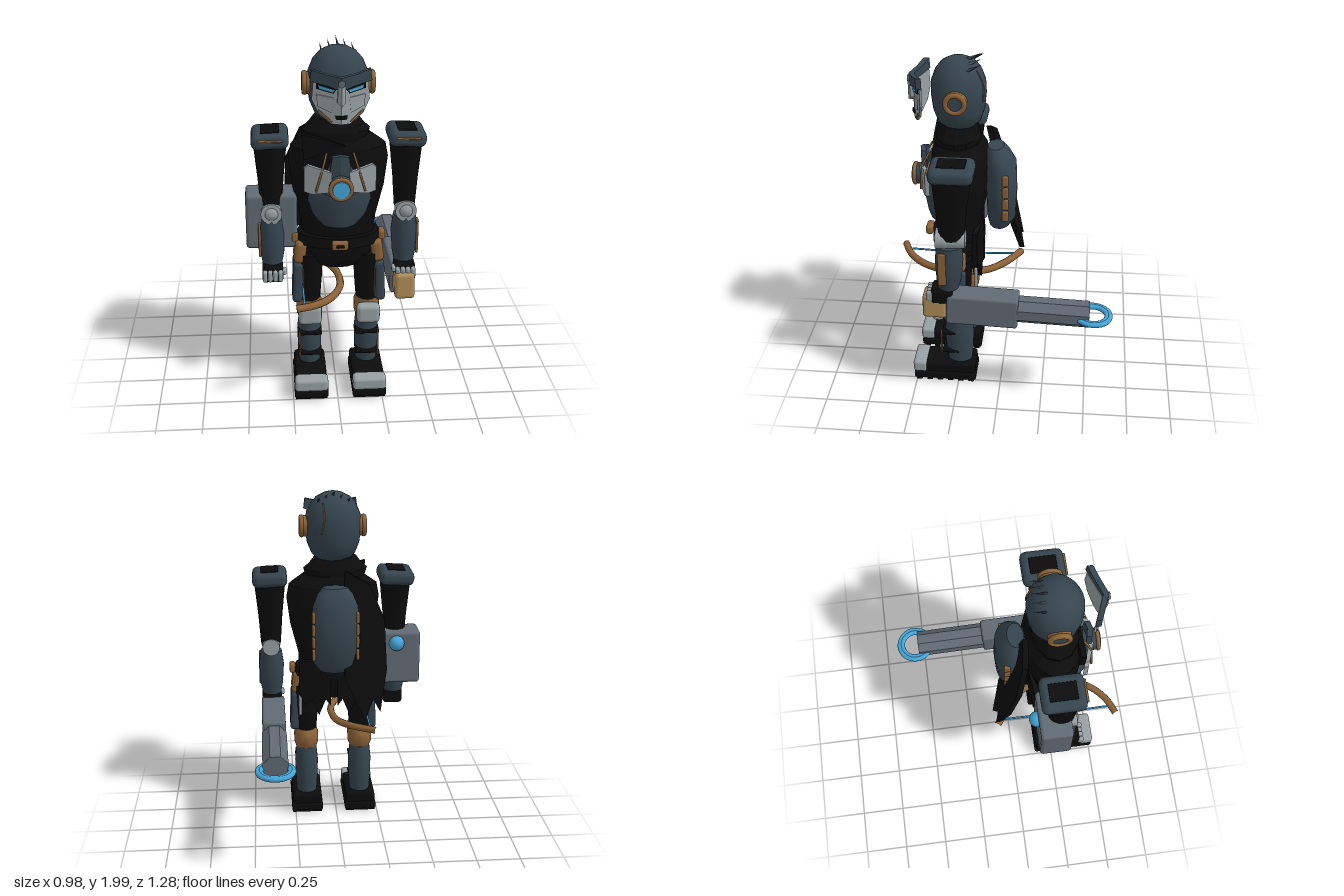
import * as THREE from 'three';
import { toCreasedNormals } from 'three/addons/utils/BufferGeometryUtils.js';
import { RoundedBoxGeometry } from 'three/addons/geometries/RoundedBoxGeometry.js';

const paint = (name, color) => Object.assign(new THREE.MeshStandardMaterial({ color }), { name });

export function createModel() {
  const slate = paint('slate', 0x36454f), black = paint('black', 0x0c0c0d);
  const light = paint('lightGrey', 0x98a1a4), steel = paint('steel', 0x616b74);
  const bronze = paint('bronze', 0x8c6238), blue = paint('blue', 0x45a5d8), tan = paint('tan', 0xb08e58);

  const model = new THREE.Group();
  const body = new THREE.Group();
  body.name = 'body';
  body.position.x = 0.015;
  model.add(body);

  const add = (name, geo, mat, pos = [0, 0, 0], rot = [0, 0, 0], parent = body) => {
    const mesh = new THREE.Mesh(geo, mat);
    mesh.name = name;
    mesh.position.set(...pos);
    mesh.rotation.set(...rot);
    parent.add(mesh);
    return mesh;
  };
  const box = (name, mat, size, pos, rot, r = 0.012, parent = body) =>
    add(name, new RoundedBoxGeometry(...size, 2, Math.min(r, ...size.map(v => v * 0.45))), mat, pos, rot, parent);
  const tube = (name, mat, pts, r, n = 24) =>
    add(name, new THREE.TubeGeometry(new THREE.CatmullRomCurve3(pts.map(p => new THREE.Vector3(...p))), n, r, 8), mat);

  // Closed elliptical loft; each section is [y, rx, rz, centre z]
  const loft = (name, mat, sections, x = 0, sides = 24, crease = 0.7) => {
    const rings = [[sections[0][0], 0, 0, sections[0][3]], ...sections,
      [sections.at(-1)[0], 0, 0, sections.at(-1)[3]]];
    const pos = [], idx = [];
    rings.forEach(([y, rx, rz, z]) => {
      for (let i = 0; i < sides; i++) {
        const a = i / sides * Math.PI * 2;
        pos.push(Math.cos(a) * rx, y, z + Math.sin(a) * rz);
      }
    });
    for (let k = 0; k < rings.length - 1; k++) for (let i = 0; i < sides; i++) {
      const a = k * sides + i, b = k * sides + (i + 1) % sides;
      if (k > 0) idx.push(a, a + sides, b);
      if (k < rings.length - 2) idx.push(b, a + sides, b + sides);
    }
    const geo = new THREE.BufferGeometry();
    geo.setAttribute('position', new THREE.Float32BufferAttribute(pos, 3));
    geo.setIndex(idx);
    return add(name, toCreasedNormals(geo, crease), mat, [x, 0, 0]);
  };

  // Thin outline cut in x, y, with its depth set by a rule zAt(x, y)
  const sheet = (name, mat, pts, depth, zAt) => {
    const geo = new THREE.ExtrudeGeometry(new THREE.Shape(pts.map(p => new THREE.Vector2(...p))),
      { depth, bevelEnabled: false });
    const p = geo.attributes.position;
    for (let i = 0; i < p.count; i++) p.setZ(i, p.getZ(i) + zAt(p.getX(i), p.getY(i)));
    geo.computeVertexNormals();
    return add(name, geo, mat);
  };
  const pair = (name, mat, pts, depth, z0, slope) => {
    for (const s of [1, -1])
      sheet(name, mat, pts.map(([x, y]) => [s * x, y]), depth, x => z0 - slope * Math.abs(x));
  };

  // Head, ears and crest
  loft('head', slate, [[1.585, 0.09, 0.085, 0.24], [1.62, 0.125, 0.12, 0.24], [1.68, 0.15, 0.14, 0.24],
    [1.77, 0.163, 0.15, 0.24], [1.84, 0.157, 0.147, 0.24], [1.9, 0.132, 0.125, 0.24],
    [1.94, 0.098, 0.095, 0.24], [1.965, 0.05, 0.05, 0.24], [1.972, 0.02, 0.02, 0.24]], -0.003, 28);
  for (const s of [1, -1]) {
    add('earRing', new THREE.TorusGeometry(0.05, 0.015, 10, 28), bronze, [s * 0.178, 1.775, 0.24], [0, Math.PI / 2, 0]);
    add('earDisc', new THREE.CylinderGeometry(0.045, 0.045, 0.05, 24), slate, [s * 0.16, 1.775, 0.24], [0, 0, Math.PI / 2]);
    add('earBase', new THREE.CylinderGeometry(0.058, 0.063, 0.04, 24), bronze, [s * 0.16, 1.775, 0.24], [0, 0, s * -Math.PI / 2]);
  }
  for (let i = 0; i < 5; i++) {
    const x = -0.085 + i * 0.042, h = 1.955 - Math.abs(i - 2) * 0.018;
    const spike = add('crestSpike', new THREE.ConeGeometry(0.016, 0.13, 6), i % 2 ? steel : slate,
      [x, h + 0.012, 0.17], [-1.15, 0, 0.1]);
    spike.scale.x = 0.6;
  }
  tube('headSeam', bronze, [[0.06, 1.92, 0.135], [0.055, 1.84, 0.103], [0.07, 1.75, 0.102]], 0.004);

  // Floating face mask
  pair('facePlate', light, [[0, 1.83], [0.14, 1.84], [0.148, 1.74], [0.115, 1.67], [0.05, 1.62], [0, 1.62]], 0.012, 0.475, 0.4);
  pair('cheekPanel', light, [[0.04, 1.76], [0.125, 1.77], [0.12, 1.71], [0.05, 1.68]], 0.008, 0.486, 0.4);
  pair('brow', slate, [[0, 1.87], [0.08, 1.88], [0.15, 1.9], [0.158, 1.84], [0.06, 1.82], [0, 1.8]], 0.03, 0.478, 0.4);
  pair('eyeSocket', black, [[0.025, 1.805], [0.125, 1.835], [0.125, 1.8], [0.04, 1.782]], 0.006, 0.488, 0.4);
  pair('eye', blue, [[0.035, 1.802], [0.115, 1.82], [0.11, 1.803], [0.045, 1.79]], 0.006, 0.493, 0.4);
  pair('nose', light, [[0, 1.83], [0.017, 1.83], [0.022, 1.74], [0, 1.72]], 0.03, 0.485, 0.7);
  pair('mouth', black, [[0, 1.668], [0.032, 1.666], [0.028, 1.648], [0, 1.648]], 0.008, 0.487, 0.4);
  pair('jawStrip', bronze, [[0.045, 1.635], [0.052, 1.628], [0.118, 1.68], [0.112, 1.69]], 0.008, 0.486, 0.4);
  add('browGem', new THREE.CylinderGeometry(0.02, 0.02, 0.02, 6), steel, [0, 1.84, 0.505], [Math.PI / 2, 0, 0]);

  // Neck, collar and torso
  loft('collar', black, [[1.48, 0.17, 0.13, 0.25], [1.53, 0.185, 0.125, 0.25], [1.56, 0.15, 0.115, 0.25], [1.6, 0.12, 0.1, 0.25]], -0.015, 12, 0.2);
  sheet('cowl', black, [[-0.2, 1.54], [-0.05, 1.5], [0.03, 1.47], [-0.08, 1.43], [-0.19, 1.4]], 0.03, () => 0.36);
  loft('torso', black, [[0.88, 0.2, 0.12, 0.25], [1.02, 0.205, 0.13, 0.25], [1.2, 0.25, 0.16, 0.245],
    [1.36, 0.27, 0.165, 0.24], [1.44, 0.255, 0.155, 0.24], [1.5, 0.17, 0.12, 0.24]], 0, 16, 0.35);
  loft('abdomenPlate', slate, [[1.015, 0.1, 0.09, 0.325], [1.08, 0.15, 0.1, 0.33], [1.16, 0.175, 0.105, 0.335],
    [1.22, 0.17, 0.11, 0.34], [1.3, 0.1, 0.1, 0.345], [1.42, 0.06, 0.06, 0.345]], 0, 18);
  pair('sternumPlate', slate, [[0, 1.44], [0.045, 1.43], [0.06, 1.32], [0.08, 1.22], [0, 1.2]], 0.03, 0.43, 0.2);
  pair('chestPlate', light, [[0.045, 1.35], [0.17, 1.38], [0.19, 1.36], [0.19, 1.23], [0.15, 1.22], [0.05, 1.24]], 0.025, 0.455, 0.35);
  add('coreHousing', new THREE.CylinderGeometry(0.058, 0.065, 0.06, 28), slate, [0, 1.27, 0.465], [Math.PI / 2, 0, 0]);
  add('coreRing', new THREE.TorusGeometry(0.055, 0.012, 10, 32), bronze, [0, 1.27, 0.495]);
  add('coreLight', new THREE.CylinderGeometry(0.046, 0.046, 0.02, 28), blue, [0, 1.27, 0.501], [Math.PI / 2, 0, 0]);
  for (const s of [1, -1])
    tube('chestCord', bronze, [[s * 0.07, 1.44, 0.4], [s * 0.095, 1.36, 0.44], [s * 0.13, 1.24, 0.445]], 0.006);

  // Backpack with side strips
  loft('backpack', slate, [[0.98, 0.09, 0.06, 0.02], [1.03, 0.125, 0.08, 0.01], [1.2, 0.135, 0.088, 0.01],
    [1.36, 0.13, 0.085, 0.012], [1.43, 0.1, 0.065, 0.03], [1.465, 0.07, 0.045, 0.04]], 0, 24);
  for (const s of [1, -1]) for (let i = 0; i < 4; i++)
    box('packStrip', bronze, [0.02, 0.066, 0.036], [s * 0.125, 1.085 + i * 0.073, -0.02]);

  // Scarf and coat tails
  sheet('scarfTail', black, [[-0.06, 1.55], [-0.2, 1.47], [-0.28, 1.28], [-0.29, 1], [-0.25, 0.76], [-0.21, 0.83],
    [-0.16, 0.71], [-0.11, 0.82], [-0.05, 0.95], [-0.04, 1.3]], 0.03, (x, y) => 0.07 - (1.55 - y) * 0.217);
  pair('coatTail', black, [[0.02, 1], [0.2, 1], [0.21, 0.8], [0.17, 0.72], [0.13, 0.76], [0.09, 0.66], [0.05, 0.76], [0.02, 0.72]], 0.03, 0.11, -0.1);
  for (const s of [1, -1])
    box('tailTrim', light, [0.02, 0.13, 0.02], [s * 0.2, 0.72, 0.14]);

  // Belt and pelvis
  loft('pelvis', black, [[0.75, 0.12, 0.09, 0.26], [0.8, 0.18, 0.115, 0.26], [0.9, 0.205, 0.13, 0.255]], 0, 16, 0.35);
  loft('belt', black, [[0.885, 0.235, 0.15, 0.255], [0.945, 0.225, 0.148, 0.255]], 0, 20);
  box('buckle', bronze, [0.088, 0.05, 0.04], [0, 0.918, 0.425]);
  box('buckleInset', black, [0.05, 0.026, 0.03], [0, 0.918, 0.434]);

  for (const s of [1, -1]) {
    // Legs
    const x = s * 0.163;
    box('hipGuard', bronze, [0.065, 0.13, 0.15], [s * 0.212, 0.835, 0.27], [0, 0, s * 0.12], 0.025);
    box('beltPouch', bronze, [0.035, 0.055, 0.07], [s * 0.24, 0.915, 0.27]);
    loft('thigh', black, [[0.5, 0.06, 0.07, 0.26], [0.65, 0.072, 0.088, 0.26], [0.82, 0.08, 0.095, 0.26]], x, 16);
    box('thighPlate', slate, [0.055, 0.24, 0.16], [s * 0.228, 0.655, 0.275], [0, 0, s * 0.04], 0.02);
    box('thighStrip', bronze, [0.008, 0.18, 0.02], [s * 0.197, 0.66, 0.358]);
    loft('kneeJoint', bronze, [[0.405, 0.06, 0.075, 0.26], [0.44, 0.072, 0.09, 0.255], [0.5, 0.074, 0.096, 0.255], [0.535, 0.06, 0.08, 0.26]], x);
    box('kneeCap', light, [0.13, 0.112, 0.07], [x, 0.47, 0.365], [0, 0, 0], 0.025);
    loft('shin', slate, [[0.11, 0.06, 0.07, 0.245], [0.2, 0.066, 0.08, 0.247], [0.32, 0.07, 0.085, 0.247], [0.42, 0.06, 0.075, 0.25]], x);
    for (const y of [0.2, 0.33])
      box('shinBand', black, [0.135, 0.018, 0.1], [x, y, 0.295], [0, 0, 0], 0.006);
    box('shinRod', bronze, [0.01, 0.17, 0.01], [s * 0.222, 0.27, 0.348], [0, 0, 0], 0.003);

    // Boots
    box('sole', black, [0.19, 0.048, 0.37], [x, 0.036, 0.33]);
    box('bootUpper', black, [0.178, 0.07, 0.31], [x, 0.09, 0.305], [0, 0, 0], 0.02);
    box('toeCap', light, [0.188, 0.076, 0.085], [x, 0.093, 0.478], [0, 0, 0], 0.02);
    for (let i = 0; i < 6; i++)
      box('tread', black, [0.18, 0.026, 0.034], [x, 0.013, 0.175 + i * 0.062], [0, 0, 0], 0.004);

    // Arms
    const ax = s * 0.365;
    box('shoulderPad', slate, [0.2, 0.085, 0.24], [ax, 1.482, 0.24], [0, 0, s * -0.04], 0.035);
    box('shoulderVent', black, [0.1, 0.012, 0.15], [ax, 1.524, 0.24], [0, 0, s * -0.04]);
    box('shoulderStrip', bronze, [0.13, 0.012, 0.014], [ax, 1.495, 0.362]);
    loft('upperArm', black, [[1.08, 0.058, 0.07, 0.25], [1.25, 0.07, 0.085, 0.25], [1.45, 0.09, 0.108, 0.245]], ax, 16);
    add('elbow', new THREE.CylinderGeometry(0.05, 0.058, 0.16, 24), light, [ax, 1.07, 0.255], [-Math.PI / 2, 0, 0]);
    add('elbowCap', new THREE.SphereGeometry(0.058, 24, 16), light, [ax, 1.07, 0.29]);
    loft('forearm', slate, [[0.76, 0.055, 0.058, 0.275], [0.82, 0.066, 0.07, 0.27], [0.94, 0.074, 0.078, 0.267], [1.03, 0.062, 0.07, 0.265]], ax);
    box('forearmStrip', bronze, [0.014, 0.2, 0.045], [s * 0.432, 0.91, 0.3]);
    box('hand', black, [0.115, 0.095, 0.12], [ax, 0.72, 0.31], [0, 0, 0], 0.02);
    for (let i = 0; i < 4; i++)
      box('finger', light, [0.026, 0.065, 0.04], [ax - 0.042 + i * 0.028, 0.72, 0.375], [0, 0, 0], 0.012);
    box('thumb', light, [0.026, 0.035, 0.05], [ax - s * 0.062, 0.735, 0.345], [0, 0, 0], 0.012);
  }

  // Block mounted on the right forearm
  box('armBlock', steel, [0.28, 0.315, 0.18], [-0.365, 1.008, 0.21], [0, 0, 0], 0.02);
  add('blockOrb', new THREE.IcosahedronGeometry(0.045, 2), blue, [-0.365, 1.1, 0.115]);

  // Cannon in the left hand, dipping slightly toward the rear
  const cannon = new THREE.Group();
  cannon.name = 'cannon';
  cannon.position.set(0.375, 0.642, 0.285);
  cannon.rotation.x = -0.035;
  model.add(cannon);
  box('cannonGrip', tan, [0.11, 0.15, 0.135], [0, 0.003, 0.067], [0, 0, 0], 0.02, cannon);
  box('cannonBody', steel, [0.135, 0.185, 0.4], [0, -0.003, -0.2], [0, 0, 0], 0.015, cannon);
  add('barrel', toCreasedNormals(new THREE.CylinderGeometry(0.076, 0.076, 0.4, 8), 0.3), steel,
    [0, 0, -0.595], [Math.PI / 2, Math.PI / 8, 0], cannon);
  for (const r of [0.096, 0.08])
    add('muzzleRing', new THREE.TorusGeometry(r, 0.015, 10, 40), blue, [0, -0.004, -0.815], [Math.PI / 2, 0, 0], cannon);

  // Bow lying level behind and before the legs
  tube('bowLimb', bronze, [[-0.25, 0.645, 0.62], [-0.15, 0.638, 0.575], [-0.06, 0.632, 0.49], [0, 0.628, 0.36],
    [0.01, 0.628, 0.24], [-0.02, 0.63, 0.1], [-0.1, 0.635, 0], [-0.23, 0.64, -0.09]], 0.021, 40);
  tube('bowString', blue, [[-0.2, 0.64, 0.575], [-0.2, 0.63, 0.24], [-0.2, 0.64, -0.07]], 0.006);
  return model;
}
